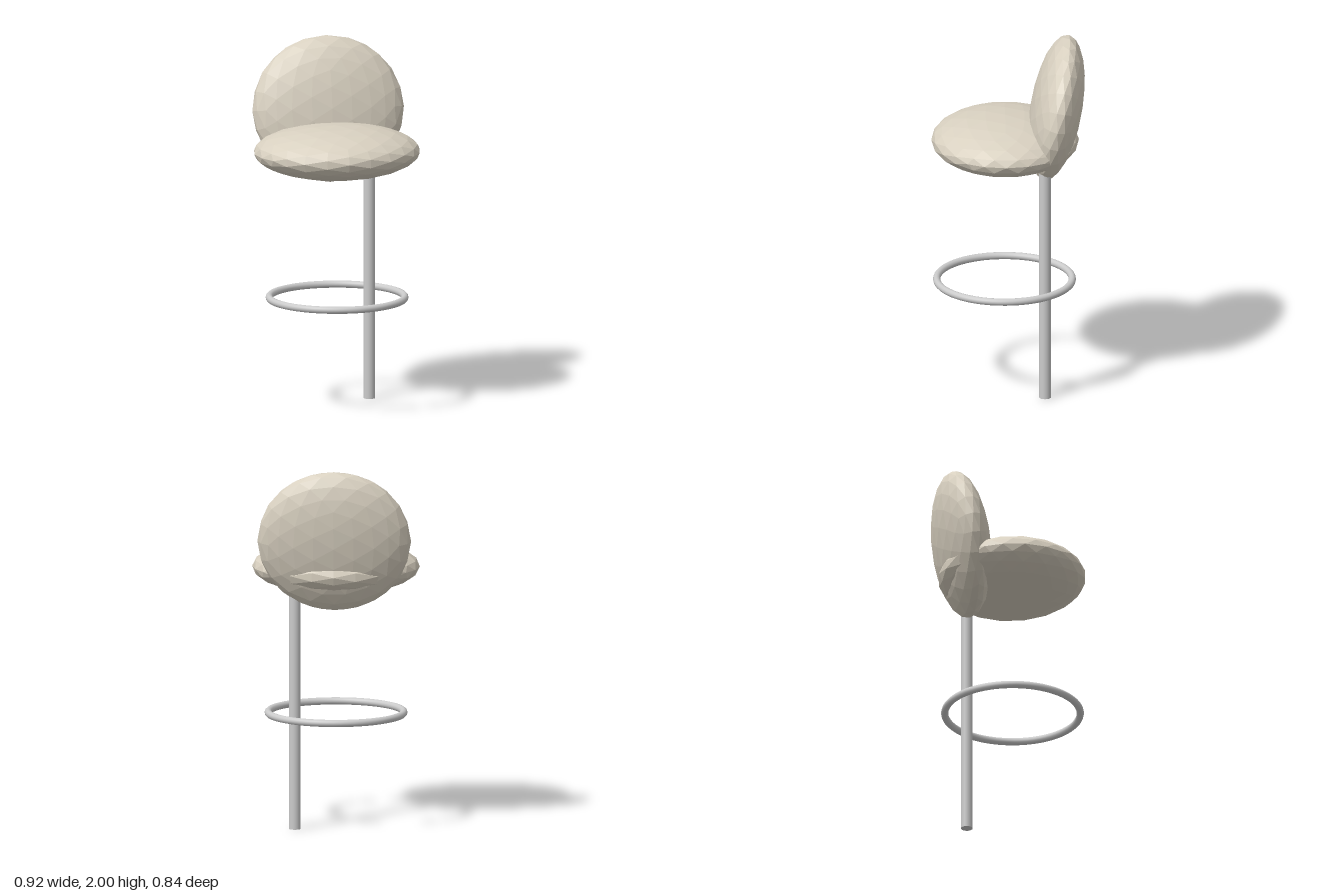
import * as THREE from 'three';

export function createModel() {
  const group = new THREE.Group();
  const metal = new THREE.MeshStandardMaterial({ color: 0xcccccc });
  const fabric = new THREE.MeshStandardMaterial({ color: 0xd8d0c0, flatShading: true });

  const add = (name, geometry, material, x, y, z) => {
    const mesh = new THREE.Mesh(geometry, material);
    mesh.name = name;
    mesh.position.set(x, y, z);
    group.add(mesh);
    return mesh;
  };

  // Faceted cushion: a flattened low-poly ball
  const cushion = (rx, ry, rz) => new THREE.IcosahedronGeometry(1, 3).scale(rx, ry, rz);

  add('seat', cushion(0.458, 0.145, 0.403), fabric, 0, 1.42, 0.015);

  // Backrest leans backwards
  add('backrest', cushion(0.42, 0.401, 0.139), fabric, 0, 1.605, -0.265).rotation.x = -0.186;

  // Single off-centre post
  add('post', new THREE.CylinderGeometry(0.032, 0.032, 1.3, 24), metal, 0.217, 0.65, -0.2);

  // Foot ring
  add('footRing', new THREE.TorusGeometry(0.37, 0.02, 12, 64).rotateX(Math.PI / 2), metal, 0, 0.61, 0.018);

  return group;
}
